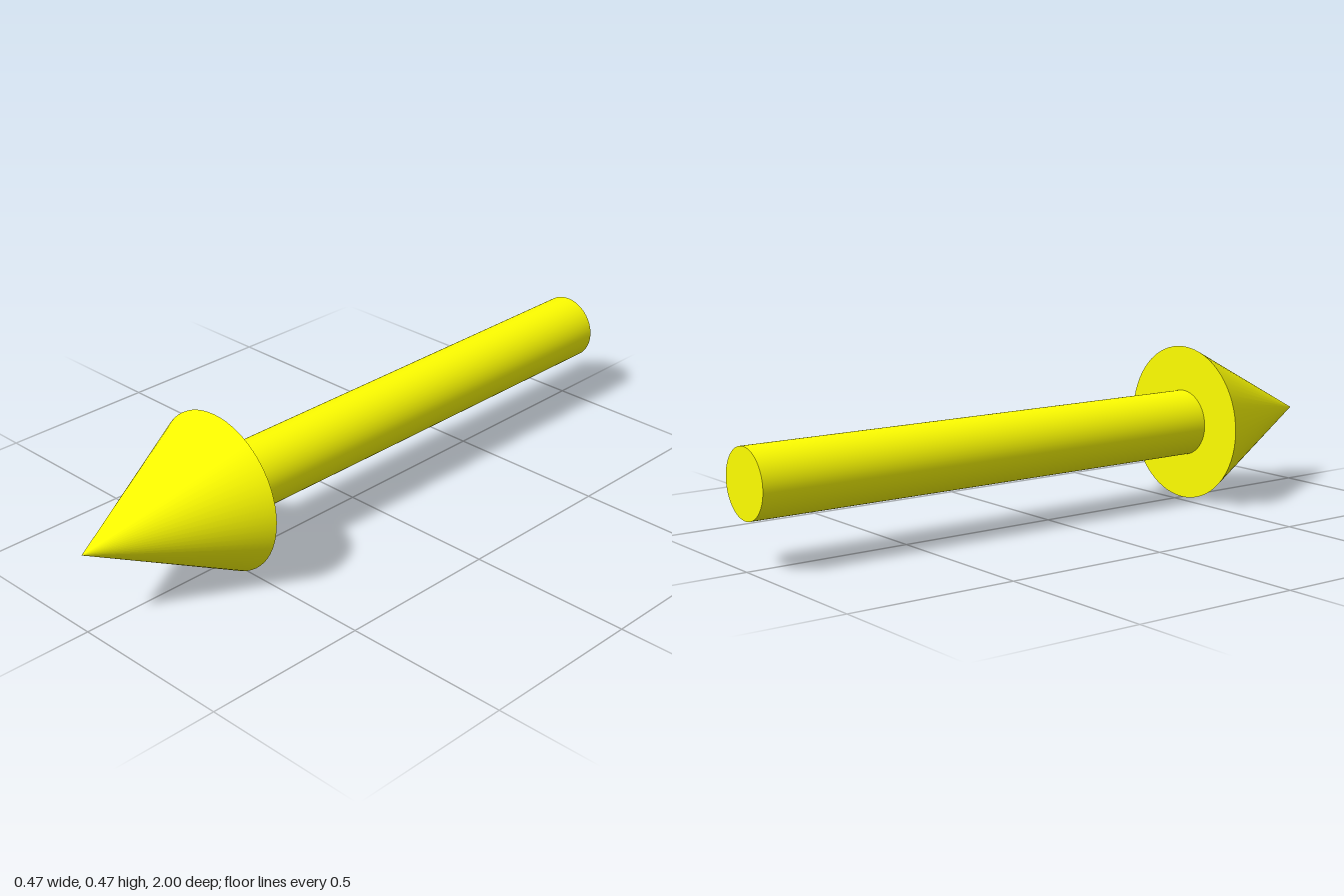
import * as THREE from 'three';

const AXIS_Y = 0.237;  // height of the arrow's axis
const NECK_Z = 0.53;   // where the shaft meets the head
const SEGMENTS = 64;

export function createModel() {
  const arrow = new THREE.Group();
  arrow.name = 'arrow';
  const yellow = new THREE.MeshStandardMaterial({ color: 0xffff00 });

  // Round part lying along z, from zBack to zFront
  function addRound(name, frontRadius, backRadius, zBack, zFront) {
    const length = zFront - zBack;
    const geometry = new THREE.CylinderGeometry(frontRadius, backRadius, length, SEGMENTS);
    geometry.rotateX(Math.PI / 2);
    const mesh = new THREE.Mesh(geometry, yellow);
    mesh.name = name;
    mesh.position.set(0, AXIS_Y, (zBack + zFront) / 2);
    arrow.add(mesh);
  }

  addRound('shaft', 0.1, 0.1, -1, NECK_Z);
  addRound('head', 0, AXIS_Y, NECK_Z, 1);

  return arrow;
}
